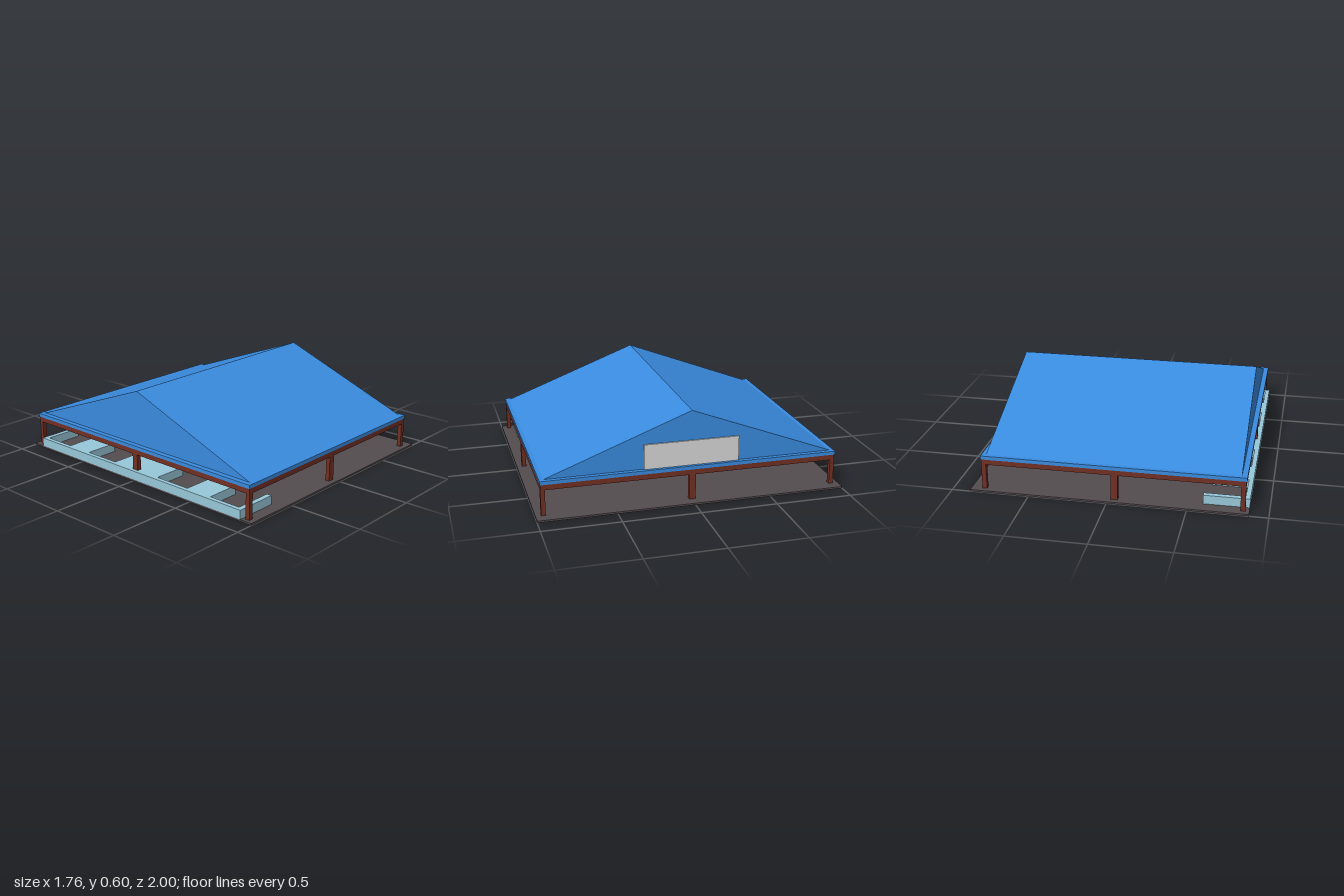
import * as THREE from 'three';

export function createModel() {
  const model = new THREE.Group();
  model.name = 'pavilion';
  const mat = (name, color) => {
    const m = new THREE.MeshStandardMaterial({ color });
    m.name = name;
    return m;
  };
  const slabGrey = mat('slab grey', 0x544c50);
  const timber = mat('timber brown', 0x733024);
  const roofBlue = mat('roof blue', 0x3a8ce0);
  const paleBlue = mat('counter pale blue', 0x98c8da);
  const signGrey = mat('sign light grey', 0xdadada);

  // Box given by its limits on each axis
  const box = (name, material, [x0, x1], [y0, y1], [z0, z1], parent = model) => {
    const mesh = new THREE.Mesh(new THREE.BoxGeometry(x1 - x0, y1 - y0, z1 - z0), material);
    mesh.position.set((x0 + x1) / 2, (y0 + y1) / 2, (z0 + z1) / 2);
    mesh.name = name;
    parent.add(mesh);
  };

  box('floorSlab', slabGrey, [-0.88, 0.88], [0, 0.012], [-1, 1]);

  // Posts around the edge, with none in the middle of the floor
  const posts = new THREE.Group();
  posts.name = 'posts';
  model.add(posts);
  for (const x of [-0.84, -0.0425, 0.795]) {
    for (const z of [-0.95, 0, 0.95]) {
      if (x === -0.0425 && z === 0) continue;
      const hx = x === -0.0425 ? 0.022 : 0.015;
      const hz = z === 0 ? 0.021 : 0.014;
      box('post', timber, [x - hx, x + hx], [0.012, 0.18], [z - hz, z + hz], posts);
    }
  }

  // Ceiling frame and the eave layer above it
  box('ceilingFrame', timber, [-0.856, 0.81], [0.178, 0.213], [-0.964, 0.964]);
  box('eaves', roofBlue, [-0.86, 0.812], [0.213, 0.237], [-0.967, 0.967]);

  // Gable roof with its ridge along x
  const gable = new THREE.Shape();
  gable.moveTo(-0.942, 0.236);
  gable.lineTo(0.942, 0.236);
  gable.lineTo(0, 0.595);
  gable.closePath();
  const roof = new THREE.Mesh(
    new THREE.ExtrudeGeometry(gable, { depth: 1.608, bevelEnabled: false }), roofBlue);
  roof.rotation.y = Math.PI / 2;
  roof.position.x = -0.825;
  roof.name = 'gableRoof';
  model.add(roof);

  box('signBoard', signGrey, [0.782, 0.792], [0.237, 0.4], [-0.31, 0.31]);

  // Low counter: long wall, end returns and blocks on its inner side
  const counter = new THREE.Group();
  counter.name = 'counter';
  model.add(counter);
  const height = [0.012, 0.071];
  box('counterWall', paleBlue, [-0.88, -0.85], height, [-0.915, 0.915], counter);
  for (const s of [-1, 1]) {
    const a = s * 0.915, b = s * 0.88;
    box('counterReturn', paleBlue, [-0.85, -0.59], height, [Math.min(a, b), Math.max(a, b)], counter);
    box('counterBlock', paleBlue, [-0.85, -0.62], height, [s * 0.555 - 0.097, s * 0.555 + 0.097], counter);
  }
  box('counterBlock', paleBlue, [-0.85, -0.62], height, [-0.198, 0.198], counter);

  return model;
}
